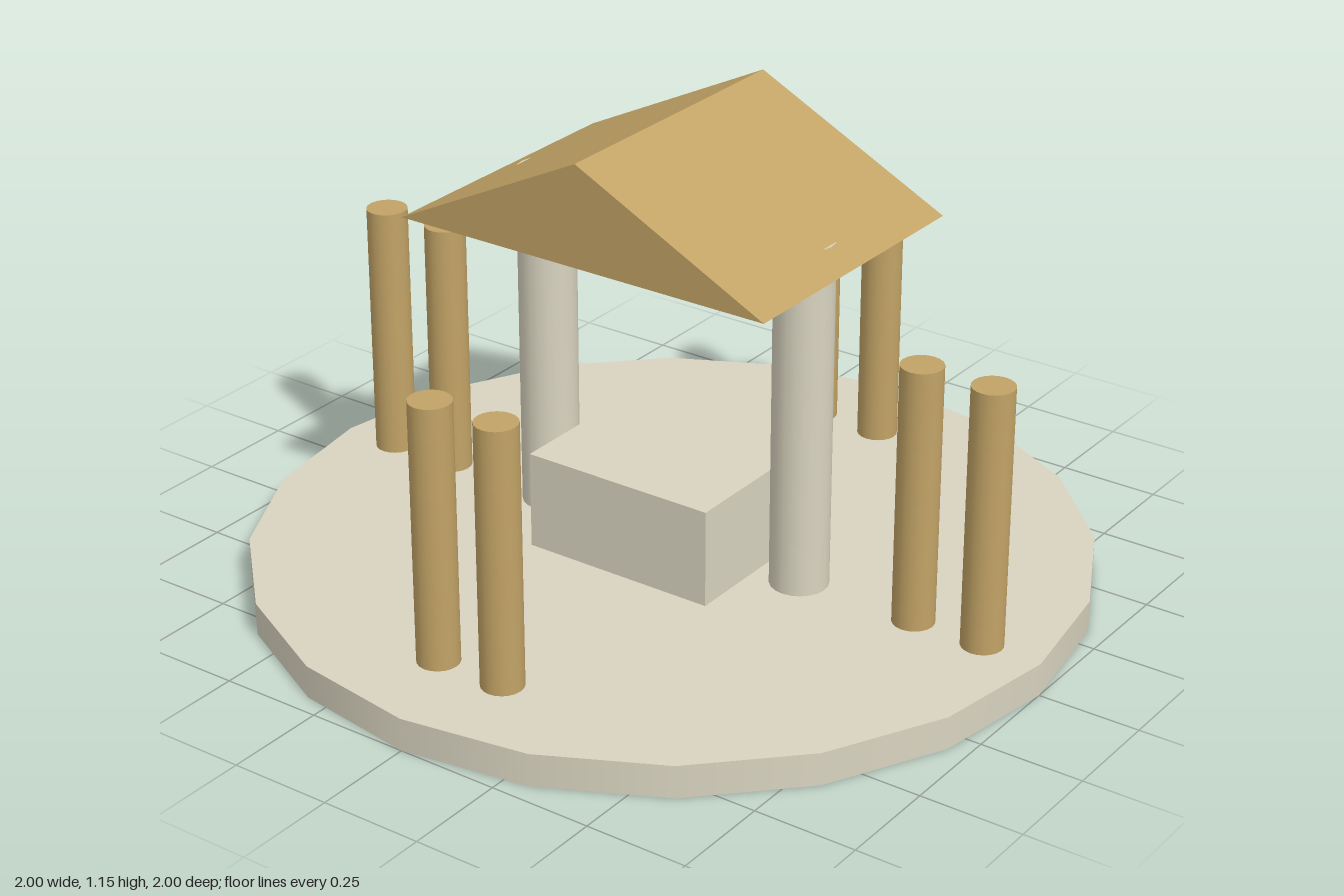
import * as THREE from 'three';

export function createModel() {
  const group = new THREE.Group();
  const stone = new THREE.MeshStandardMaterial({ color: 0xd9d4c0 });
  stone.name = 'pale stone';
  const ochre = new THREE.MeshStandardMaterial({ color: 0xc2a366 });
  ochre.name = 'ochre';

  const add = (name, geometry, material, x = 0, y = 0, z = 0) => {
    const mesh = new THREE.Mesh(geometry, material);
    mesh.name = name;
    mesh.position.set(x, y, z);
    group.add(mesh);
  };

  // Upright cylinder between two heights
  const pillar = (name, radius, bottom, top, sides, material, x, z) =>
    add(name, new THREE.CylinderGeometry(radius, radius, top - bottom, sides),
      material, x, (bottom + top) / 2, z);

  // Round base and central altar block
  pillar('platform', 1, 0, 0.08, 20, stone, 0, 0);
  add('altar', new THREE.BoxGeometry(0.5, 0.26, 0.44), stone, 0, 0.19, 0);

  // Two columns carrying the roof, tops just breaking its slopes
  for (const side of [-1, 1]) {
    pillar('column', 0.07, 0.01, 0.94, 20, stone, side * 0.36, 0);
  }

  // Gabled roof
  const gable = new THREE.Shape();
  gable.moveTo(-0.495, 0.905);
  gable.lineTo(0.495, 0.905);
  gable.lineTo(0, 1.15);
  gable.closePath();
  const roof = new THREE.ExtrudeGeometry(gable, { depth: 0.72, bevelEnabled: false });
  roof.translate(0, 0, -0.36);
  add('roof', roof, ochre);

  // Pairs of posts at the four compass points
  for (const side of [-1, 1]) {
    for (const offset of [-0.09, 0.09]) {
      pillar('sidePost', 0.05, 0.01, 0.72, 20, ochre, side * 0.76 + offset, 0);
      pillar('endPost', 0.05, 0.01, 0.72, 20, ochre, offset, side * 0.76);
    }
  }

  return group;
}
